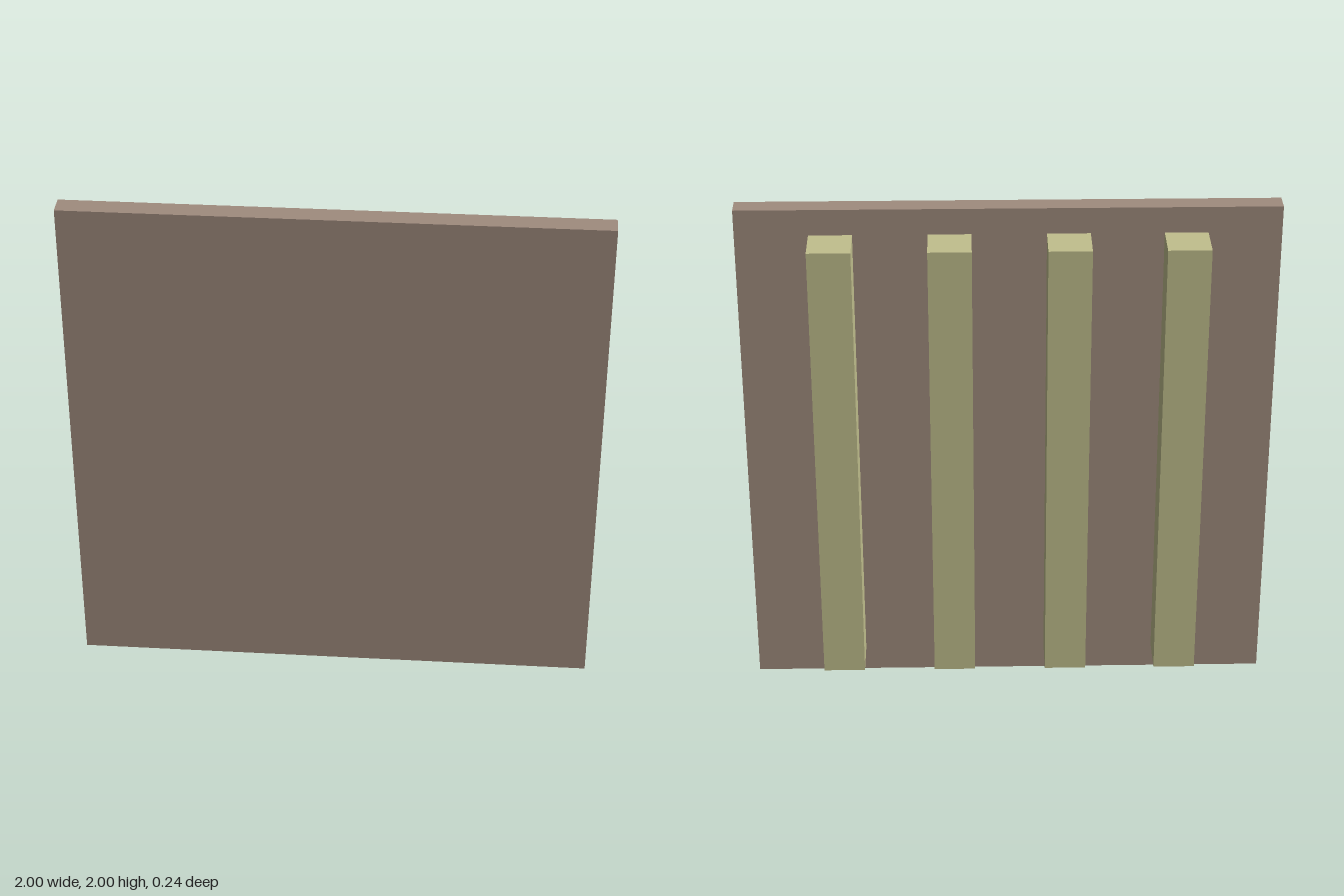
import * as THREE from 'three';

export function createModel() {
  const group = new THREE.Group();
  const panelMaterial = new THREE.MeshStandardMaterial({ color: 0xa08c7e });
  const battenMaterial = new THREE.MeshStandardMaterial({ color: 0xc1bf8d });

  // Flat square panel facing the front
  const panel = new THREE.Mesh(new THREE.BoxGeometry(2, 2, 0.08), panelMaterial);
  panel.name = 'panel';
  panel.position.set(0, 1, 0.08);
  group.add(panel);

  // Four upright battens on the back of the panel
  const battenGeometry = new THREE.BoxGeometry(0.16, 1.8, 0.16);
  [-0.65, -0.22, 0.215, 0.65].forEach((x, i) => {
    const batten = new THREE.Mesh(battenGeometry, battenMaterial);
    batten.name = `batten${i + 1}`;
    batten.position.set(x, 1, -0.04);
    group.add(batten);
  });

  return group;
}
